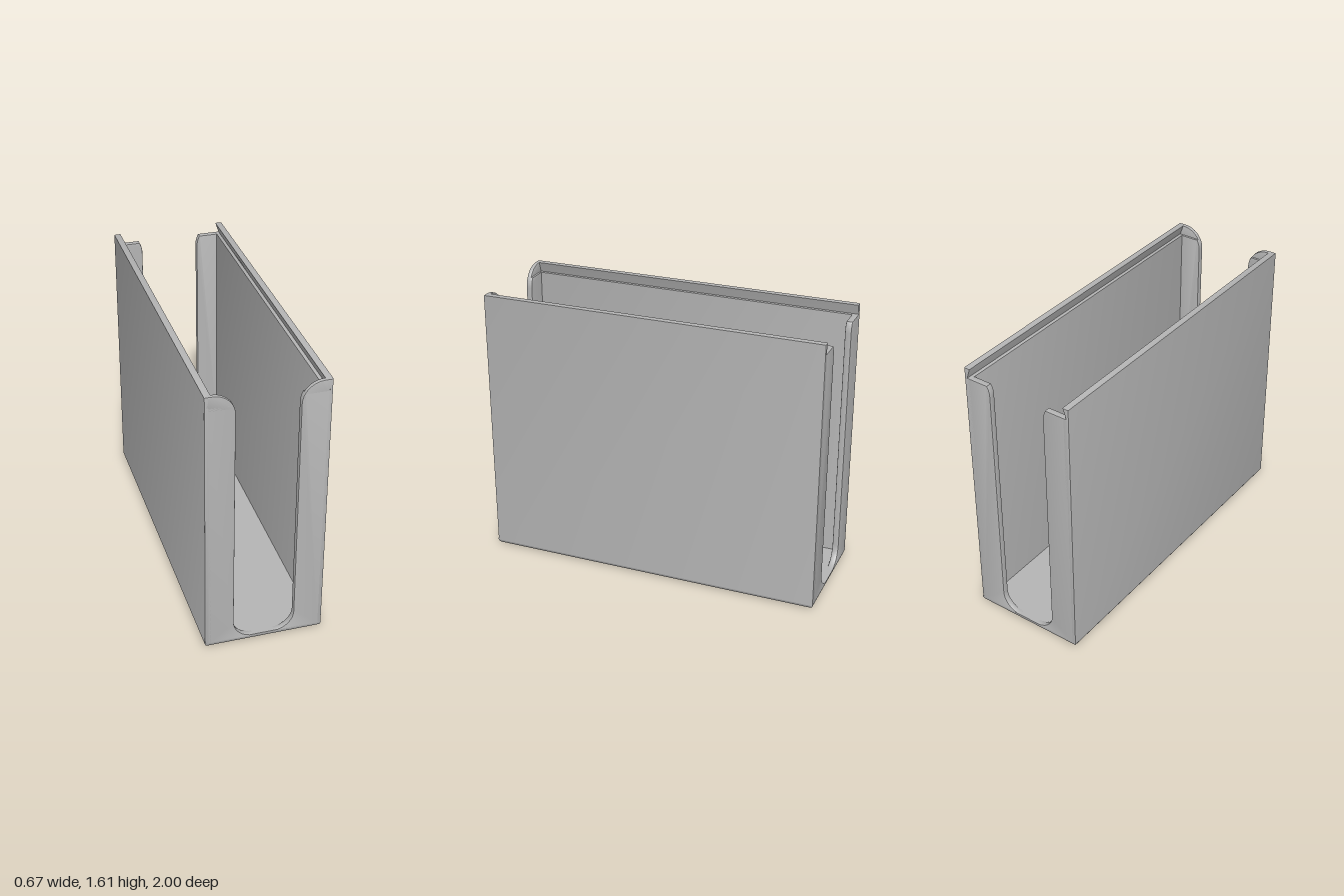
import * as THREE from 'three';
import { toCreasedNormals } from 'three/addons/utils/BufferGeometryUtils.js';

const W = 0.337, H = 1.61, L = 1, T = 0.037; // half width, height, half length, wall
const FLOOR = 0.04, LEDGE = 1.55, EDGE = 0.006; // floor top, lid groove floor, edge rounding
const SLOT = 0.1725, R_TOP = 0.122, R_LOW = 0.11;

export function createModel() {
  const model = new THREE.Group();
  model.name = 'openEndedHolder';
  const grey = new THREE.MeshStandardMaterial({ color: 0xb4b4b4 });
  grey.name = 'grey plastic';

  const add = (name, geometry) => {
    const mesh = new THREE.Mesh(toCreasedNormals(geometry, 0.6), grey);
    mesh.name = name;
    model.add(mesh);
  };

  // Extrude an outline between two z values, softening its edges inside the outline
  const slab = (points, z0, z1) => new THREE.ExtrudeGeometry(new THREE.Shape(points), {
    depth: z1 - z0 - 2 * EDGE, bevelThickness: EDGE, bevelSize: EDGE, bevelOffset: -EDGE, bevelSegments: 2,
  }).translate(0, 0, z0 + EDGE);

  const arc = (cx, cy, r, a0, a1, n = 14) => Array.from({ length: n + 1 }, (_, i) => {
    const a = a0 + (a1 - a0) * i / n;
    return new THREE.Vector2(cx + r * Math.cos(a), cy + r * Math.sin(a));
  });
  const mirror = (points, s) => points.map(p => new THREE.Vector2(p.x * s, p.y));
  const v = (x, y) => new THREE.Vector2(x, y);

  // Floor: rounded underside, flat top
  const rect = new THREE.Shape([v(-W, -L), v(W, -L), v(W, L), v(-W, L)]);
  const floor = new THREE.ExtrudeGeometry(rect, {
    depth: 0.002, bevelThickness: 0.038, bevelSize: 0.038, bevelOffset: -0.038, bevelSegments: 8,
  });
  const pos = floor.attributes.position;
  for (let i = 0; i < pos.count; i++) pos.setZ(i, Math.min(pos.getZ(i), 0.002));
  floor.rotateX(-Math.PI / 2).translate(0, 0.038, 0);
  add('floor', floor);

  // Side wall section with the undercut lid groove
  const wall = [v(W, 0.03), v(W, H), v(W - T, H), v(W - 0.017, LEDGE), v(W - T, LEDGE), v(W - T, 0.03)];

  // End panel halves: rounded at the top, filleted into the floor
  const cx = SLOT + R_TOP, cy = H - R_TOP;
  const cut = Math.PI - Math.asin((LEDGE - cy) / R_TOP);
  const outer = 0.322;
  const panel = [
    v(outer, 0.03), v(outer, LEDGE),
    ...arc(cx, cy, R_TOP, cut, Math.PI),
    ...arc(SLOT - R_LOW, FLOOR + R_LOW, R_LOW, 0, -Math.PI / 2),
    v(SLOT - R_LOW, 0.03),
  ];
  // Front lip above the groove, overlapping the panel beneath it
  const lip = [
    v(outer, LEDGE - 0.03), v(outer, H),
    ...arc(cx, cy, R_TOP, Math.PI / 2, Math.PI - Math.asin((LEDGE - 0.03 - cy) / R_TOP)),
  ];

  for (const [side, s] of [['left', 1], ['right', -1]]) {
    add(side + 'Wall', slab(mirror(wall, s), -L, L));
    add(side + 'FrontPanel', slab(mirror(panel, s), L - T, L));
    add(side + 'BackPanel', slab(mirror(panel, s), -L, -L + T));
    add(side + 'FrontLip', slab(mirror(lip, s), L - 0.026, L));
  }
  return model;
}
